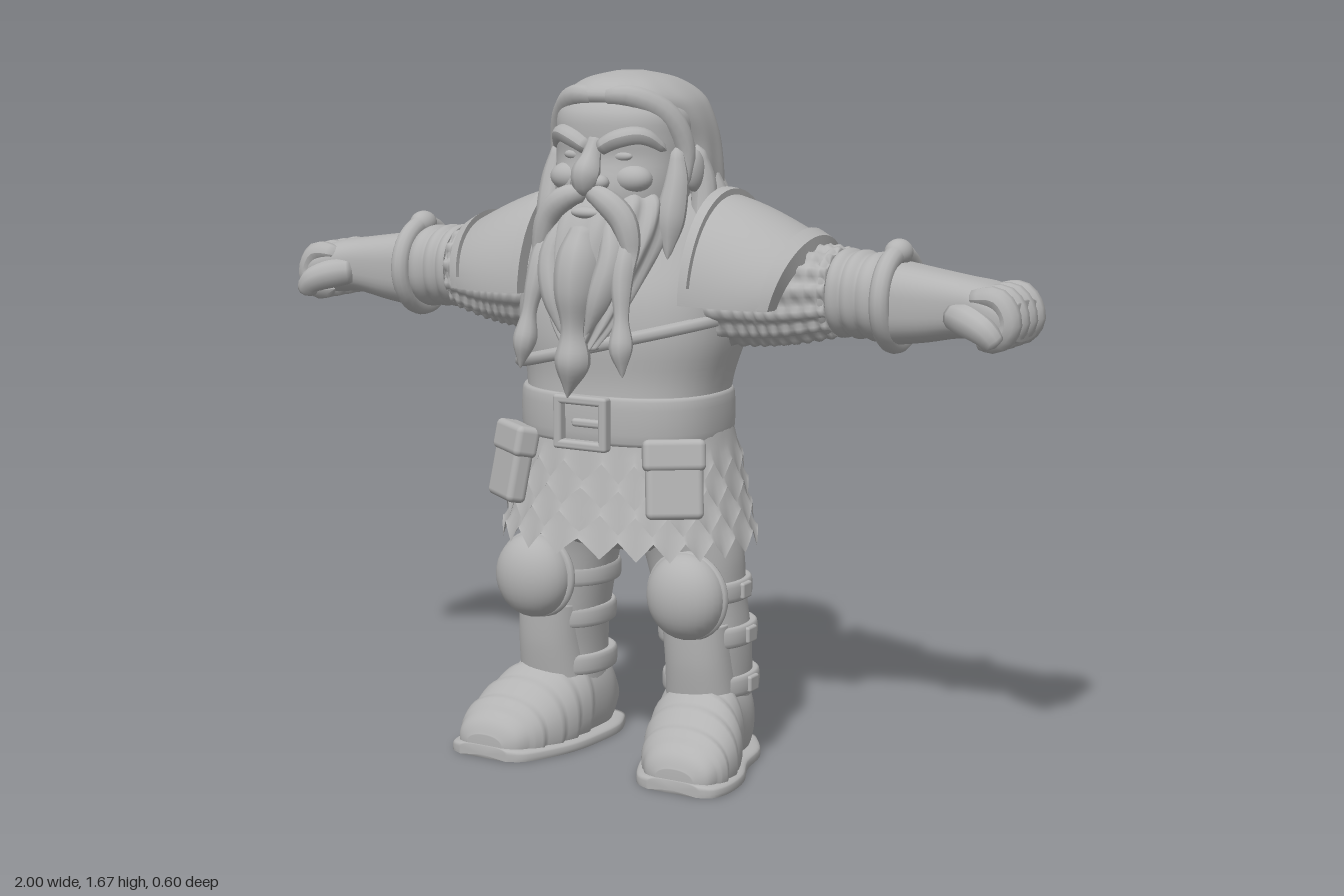
import * as THREE from 'three';
import { RoundedBoxGeometry } from 'three/addons/geometries/RoundedBoxGeometry.js';

const lerp = THREE.MathUtils.lerp;
const V = (p) => new THREE.Vector3(...p);
const spow = (v, e) => Math.sign(v) * Math.pow(Math.abs(v), 2 / e);

function catmull(keys, f, k) {
  const n = keys.length - 1, i = Math.min(Math.floor(f * n), n - 1), t = f * n - i;
  const b = keys[i][k], c = keys[i + 1][k];
  const a = i > 0 ? keys[i - 1][k] : b, d = i < n - 1 ? keys[i + 2][k] : c;
  const m0 = (c - a) / 2, m1 = (d - b) / 2;
  return b + m0 * t + (3 * (c - b) - 2 * m0 - m1) * t * t + (2 * (b - c) + m0 + m1) * t * t * t;
}

// Lofts rounded sections along an axis. Keys are [t, u, v, ru, rv]:
// axis y: [y, x, z, rx, rz]   axis x: [x, z, y, rz, ry]   axis z: [z, y, x, ry, rx]
function loft(axis, keys, { rows = 24, segs = 40, e = 2.2, mod = null, cap = true, after = null } = {}) {
  const pos = [], idx = [];
  const put = (t, u, v) => {
    const p = axis === 'y' ? [u, t, v] : axis === 'x' ? [t, v, u] : [v, u, t];
    if (after) after(p);
    pos.push(...p);
  };
  for (let i = 0; i <= rows; i++) {
    const f = i / rows, [t, u, v, ru, rv] = [0, 1, 2, 3, 4].map((k) => catmull(keys, f, k));
    for (let j = 0; j < segs; j++) {
      const a = (j / segs) * Math.PI * 2, m = mod ? mod(f, a, t) : 0;
      put(t, u + (ru + m) * spow(Math.cos(a), e), v + (rv + m) * spow(Math.sin(a), e));
    }
  }
  for (let i = 0; i < rows; i++) for (let j = 0; j < segs; j++) {
    const k = (j + 1) % segs, a = i * segs + j, b = i * segs + k, c = b + segs, d = a + segs;
    idx.push(a, d, b, b, d, c);
  }
  if (cap) {
    const s = keys[0], l = keys[keys.length - 1], c0 = pos.length / 3, top = rows * segs;
    put(s[0], s[1], s[2]);
    put(l[0], l[1], l[2]);
    for (let j = 0; j < segs; j++) {
      const k = (j + 1) % segs;
      idx.push(c0, j, k, c0 + 1, top + k, top + j);
    }
  }
  const g = new THREE.BufferGeometry();
  g.setAttribute('position', new THREE.Float32BufferAttribute(pos, 3));
  g.setIndex(idx);
  g.computeVertexNormals();
  return g;
}

// Tapered strand through points, with a radius for each point
function lock(points, radii, n = 16, segs = 10) {
  const curve = new THREE.CatmullRomCurve3(points.map(V));
  const g = new THREE.TubeGeometry(curve, n, 1, segs), P = g.attributes.position, q = new THREE.Vector3();
  const keys = radii.map((r) => [r]);
  for (let i = 0; i <= n; i++) {
    const c = curve.getPointAt(i / n), r = i === 0 || i === n ? 0.001 : Math.max(0.002, catmull(keys, i / n, 0));
    for (let j = 0; j <= segs; j++) {
      const k = i * (segs + 1) + j;
      q.fromBufferAttribute(P, k).sub(c).multiplyScalar(r).add(c);
      P.setXYZ(k, q.x, q.y, q.z);
    }
  }
  g.computeVertexNormals();
  return g;
}

const ball = (x, y, z, rx, ry, rz) => new THREE.SphereGeometry(1, 28, 18).scale(rx, ry, rz).translate(x, y, z);

// Flat band around a limb or the waist
const band = (y, h, x, z, rx, rz, e) => loft('y', [[y - h, x, z, rx - 0.02, rz - 0.02], [y - h * 0.9, x, z, rx, rz],
  [y + h * 0.9, x, z, rx, rz], [y + h, x, z, rx - 0.02, rz - 0.02]], { rows: 12, e });

// Curved shoulder plate piece: u runs outward, a runs over the arm
function shoulderPlate(u0, u1, a0, a1, h0, h1) {
  const g = new THREE.BoxGeometry(1, 1, 1, 8, 1, 28), P = g.attributes.position;
  for (let i = 0; i < P.count; i++) {
    const u = lerp(u0, u1, P.getX(i) + 0.5), h = lerp(h0, h1, P.getY(i) + 0.5);
    const a = THREE.MathUtils.degToRad(lerp(a1, a0, P.getZ(i) + 0.5));
    const ry = lerp(0.245, 0.145, u ** 1.4) + h, rz = lerp(0.205, 0.17, u ** 3) + h;
    P.setXYZ(i, 0.22 + 0.25 * u - 0.04 * u * (1 - Math.sin(a)), 1.13 + ry * Math.sin(a), -0.075 + rz * Math.cos(a));
  }
  g.computeVertexNormals();
  return g;
}

function mirrored(g) {
  const m = g.clone().scale(-1, 1, 1);
  if (!m.index) m.setIndex([...Array(m.attributes.position.count).keys()]);
  const a = m.index.array;
  for (let i = 0; i < a.length; i += 3) [a[i], a[i + 1]] = [a[i + 1], a[i]];
  return m;
}

export function createModel() {
  const model = new THREE.Group();
  const mat = new THREE.MeshStandardMaterial({ color: 0xb3b3b3, side: THREE.DoubleSide });
  mat.name = 'stoneGrey';
  const add = (name, g) => {
    const m = new THREE.Mesh(g, mat);
    m.name = name;
    model.add(m);
  };
  const pair = (name, g) => { add(name + 'Left', g); add(name + 'Right', mirrored(g)); };

  // Torso, strap and belt
  add('torso', loft('y', [[0.74, 0, 0, 0.24, 0.19], [0.86, 0, 0, 0.245, 0.195], [0.95, 0, -0.01, 0.255, 0.2],
    [1.05, 0, -0.025, 0.28, 0.22], [1.15, 0, -0.045, 0.285, 0.225], [1.25, 0, -0.07, 0.27, 0.205],
    [1.33, 0, -0.07, 0.22, 0.17], [1.4, 0, -0.06, 0.12, 0.12]], { rows: 30, e: 2.4 }));
  const strap = [];
  for (let i = 0; i < 40; i++) {
    const a = (i / 40) * Math.PI * 2, x = 0.275 * spow(Math.cos(a), 2.4);
    strap.push(V([x, 1.03 + x * 0.25, -0.022 + 0.215 * spow(Math.sin(a), 2.4)]));
  }
  add('chestStrap', new THREE.TubeGeometry(new THREE.CatmullRomCurve3(strap, true), 100, 0.016, 8, true));
  add('belt', band(0.86, 0.055, 0, 0, 0.258, 0.207, 2.4));
  for (const s of [-1, 1]) {
    add('buckleSide', new RoundedBoxGeometry(0.022, 0.13, 0.03, 3, 0.008).translate(s * 0.062, 0.855, 0.217));
    add('buckleBar', new RoundedBoxGeometry(0.146, 0.022, 0.03, 3, 0.008).translate(0, 0.855 + s * 0.054, 0.217));
  }
  add('buckleTongue', new RoundedBoxGeometry(0.09, 0.02, 0.02, 2, 0.008).translate(0.02, 0.855, 0.217));

  // Scale skirt in overlapping tiers
  [0.715, 0.655, 0.595, 0.535].forEach((y0, k) => {
    const y1 = y0 + 0.11, w = (0.82 - y0) / 0.28;
    const g = loft('y', [[y0, 0, -0.005, 0.262 + 0.058 * w, 0.207 + 0.036 * w],
      [y1, 0, -0.005, 0.242 + 0.045 * w, 0.19 + 0.025 * w]], { rows: 6, segs: 176, cap: false, e: 2.3 });
    const P = g.attributes.position;
    for (let j = 0; j < 176 * 4; j++) {
      const row = Math.floor(j / 176), ph = (((j % 176) + (k % 2) * 4) % 8) / 8;
      P.setY(j, P.getY(j) + 0.045 * Math.abs(ph - 0.5) * 2 * (1 - row / 4));
    }
    g.computeVertexNormals();
    add('skirtTier', g);
  });
  add('hips', loft('y', [[0.53, 0, -0.02, 0.18, 0.12], [0.6, 0, -0.01, 0.25, 0.18], [0.76, 0, 0, 0.23, 0.18]]));

  // Hanging pouches
  const place = (g) => g.rotateX(-0.2).rotateY(0.6).translate(0.225, 0.73, 0.172);
  pair('pouch', place(new RoundedBoxGeometry(0.135, 0.18, 0.05, 4, 0.015)));
  pair('pouchFlap', place(new RoundedBoxGeometry(0.148, 0.075, 0.062, 4, 0.015).translate(0, 0.06, 0)));

  // Legs, straps and knee guards
  pair('leg', loft('y', [[0.1, 0.2, -0.05, 0.095, 0.115], [0.22, 0.205, -0.045, 0.1, 0.105], [0.32, 0.2, -0.035, 0.105, 0.11],
    [0.42, 0.185, -0.03, 0.11, 0.11], [0.52, 0.17, -0.025, 0.12, 0.115], [0.62, 0.14, -0.02, 0.125, 0.14]]));
  [[0.2, 0.203, -0.055, 0.113, 0.118], [0.325, 0.2, -0.043, 0.116, 0.118], [0.435, 0.185, -0.035, 0.12, 0.118]].forEach(([y, x, z, rx, rz]) => {
    pair('legStrap', band(y, 0.024, x, z, rx, rz));
    pair('strapBuckle', new RoundedBoxGeometry(0.018, 0.04, 0.045, 2, 0.006).translate(x + rx, y, z));
  });
  pair('kneeGuard', ball(0.215, 0.435, 0.095, 0.1, 0.105, 0.075));
  pair('kneeRim', new THREE.TorusGeometry(0.098, 0.012, 8, 36).translate(0.213, 0.435, 0.085));
  pair('shinGuard', loft('y', [[0.16, 0.21, 0.0, 0.09, 0.075], [0.26, 0.21, 0.015, 0.085, 0.075], [0.36, 0.205, 0.025, 0.085, 0.07]]));

  // Boots with layered toe bands
  const floor = (p) => { p[1] = Math.max(0, p[1]); };
  const foot = [[-0.175, 0.08, 0.19, 0.05, 0.06], [-0.1, 0.1, 0.2, 0.13, 0.1], [0, 0.095, 0.21, 0.13, 0.11],
    [0.09, 0.065, 0.235, 0.115, 0.123], [0.17, 0.045, 0.255, 0.085, 0.112], [0.225, 0.035, 0.265, 0.055, 0.088], [0.245, 0.03, 0.267, 0.025, 0.05]];
  pair('boot', loft('z', foot, { rows: 60, after: floor,
    mod: (f, a, t) => (t > 0 && t < 0.2 ? 0.008 * (1 - ((t * 18) % 1)) : 0) }));
  pair('sole', loft('z', foot.map(([z, , x, , rx]) => [z * 1.03, 0.008, x, 0.022, rx + 0.016]), { e: 4, after: floor }));

  // Arms: lumpy mail sleeve, wrapped forearm, cuff, glove
  pair('sleeve', loft('x', [[0.2, -0.07, 1.17, 0.17, 0.14], [0.32, -0.08, 1.165, 0.16, 0.135], [0.42, -0.085, 1.16, 0.138, 0.12],
    [0.53, -0.09, 1.165, 0.105, 0.1]], { rows: 50, segs: 72, mod: (f, a) => 0.009 * Math.sin(a * 14 + Math.floor(f * 12) * Math.PI) * Math.sin(f * 12 * Math.PI) }));
  pair('forearmWrap', loft('x', [[0.5, -0.09, 1.165, 0.102, 0.098], [0.58, -0.093, 1.163, 0.1, 0.096], [0.68, -0.095, 1.155, 0.1, 0.096]],
    { rows: 40, mod: (f) => 0.008 * Math.abs(Math.sin(f * Math.PI * 5)) }));
  pair('cuff', new THREE.TorusGeometry(0.104, 0.024, 12, 40).rotateY(Math.PI / 2).translate(0.665, 1.158, -0.095));
  pair('cuffKnob', ball(0.665, 1.265, -0.095, 0.032, 0.032, 0.04));
  pair('glove', loft('x', [[0.66, -0.093, 1.15, 0.103, 0.098], [0.75, -0.088, 1.15, 0.09, 0.085], [0.84, -0.085, 1.152, 0.085, 0.07],
    [0.9, -0.085, 1.145, 0.098, 0.068], [0.95, -0.085, 1.135, 0.1, 0.06], [0.985, -0.085, 1.13, 0.085, 0.045]], { e: 2.7 }));
  for (let i = 0; i < 4; i++) {
    const z = -0.157 + i * 0.048;
    pair('finger', lock([[0.87, 1.18, z], [0.945, 1.18, z], [0.972, 1.13, z], [0.945, 1.09, z], [0.89, 1.09, z]], [0.02, 0.028, 0.029, 0.028, 0.02]));
  }
  pair('thumb', lock([[0.83, 1.14, -0.02], [0.89, 1.13, 0.015], [0.935, 1.11, 0.03], [0.955, 1.08, 0.02]], [0.03, 0.036, 0.033, 0.025]));

  // Shoulder guards with raised rims
  pair('shoulderGuard', shoulderPlate(0, 1, 4, 170, -0.015, 0.01));
  pair('guardRimInner', shoulderPlate(0, 0.1, 3, 171, -0.015, 0.024));
  pair('guardRimOuter', shoulderPlate(0.9, 1.02, 3, 171, -0.02, 0.024));
  pair('guardRimFront', shoulderPlate(0, 1.02, 2, 11, -0.015, 0.024));
  pair('guardRimBack', shoulderPlate(0, 1.02, 163, 172, -0.015, 0.024));

  // Head and face
  add('head', loft('y', [[1.24, 0, 0, 0.12, 0.12], [1.32, 0, 0.02, 0.15, 0.14], [1.4, 0, 0.025, 0.16, 0.15], [1.47, 0, 0.02, 0.163, 0.138],
    [1.52, 0, 0.01, 0.165, 0.152], [1.58, 0, 0, 0.16, 0.155], [1.64, 0, 0, 0.1, 0.1]]));
  add('nose', lock([[0, 1.52, 0.145], [0, 1.47, 0.175], [0, 1.425, 0.2], [0, 1.4, 0.18]], [0.02, 0.023, 0.034, 0.025]));
  pair('nostril', ball(0.028, 1.418, 0.178, 0.022, 0.018, 0.022));
  pair('brow', lock([[0.01, 1.492, 0.16], [0.06, 1.518, 0.155], [0.11, 1.525, 0.125], [0.15, 1.49, 0.08]], [0.018, 0.022, 0.02, 0.01]));
  pair('eye', ball(0.062, 1.478, 0.138, 0.03, 0.013, 0.015));
  pair('cheek', ball(0.085, 1.425, 0.125, 0.05, 0.035, 0.04));
  pair('ear', ball(0.18, 1.44, 0.0, 0.022, 0.05, 0.035));

  // Hair with strands and ragged ends
  add('hair', loft('y', [[1.17, 0, -0.2, 0.12, 0.06], [1.28, 0, -0.165, 0.165, 0.11], [1.4, 0, -0.11, 0.185, 0.128], [1.5, 0, -0.09, 0.182, 0.14],
    [1.57, 0, -0.055, 0.172, 0.165], [1.615, 0, -0.03, 0.15, 0.178], [1.652, 0, -0.015, 0.1, 0.125], [1.67, 0, -0.01, 0.03, 0.04]],
    { rows: 36, segs: 80, mod: (f, a, t) => 0.004 * Math.sin(a * 11 + t * 12) * (1 - f) }));
  for (let i = 0; i < 13; i++) {
    const a = lerp(-1.5, 1.5, i / 12), s = Math.sin(a), c = Math.cos(a), d = (i % 3) * 0.035;
    add('backLock', lock([[0.16 * s, 1.45, -0.1 - 0.11 * c], [0.18 * s, 1.36, -0.11 - 0.13 * c], [0.19 * s, 1.28 - d / 2, -0.12 - 0.145 * c],
      [0.2 * s + 0.015, 1.2 - d, -0.125 - 0.165 * c]], [0.015, 0.03, 0.028, 0.004]));
  }
  pair('fringe', lock([[0.0, 1.61, 0.13], [0.07, 1.615, 0.115], [0.14, 1.57, 0.06], [0.172, 1.49, 0.03], [0.18, 1.4, 0.04]], [0.02, 0.028, 0.03, 0.024, 0.008]));
  pair('sideburn', lock([[0.16, 1.5, 0.05], [0.168, 1.42, 0.065], [0.165, 1.34, 0.085], [0.17, 1.24, 0.11]], [0.015, 0.03, 0.034, 0.006]));
  pair('sideLock', lock([[0.175, 1.5, -0.02], [0.19, 1.4, -0.03], [0.195, 1.32, -0.01], [0.2, 1.25, 0.04]], [0.015, 0.03, 0.028, 0.005]));

  // Beard, moustache and braids
  add('beard', loft('y', [[1.03, 0, 0.22, 0.035, 0.03], [1.1, 0, 0.195, 0.085, 0.06], [1.2, 0, 0.155, 0.13, 0.095],
    [1.3, 0, 0.11, 0.16, 0.115], [1.37, 0, 0.085, 0.155, 0.1], [1.4, 0, 0.08, 0.12, 0.07]],
    { rows: 30, segs: 80, mod: (f, a) => 0.007 * Math.sin(a * 13 + f * 4) }));
  pair('moustache', lock([[0.0, 1.395, 0.185], [0.05, 1.382, 0.2], [0.1, 1.335, 0.195], [0.125, 1.26, 0.2], [0.14, 1.22, 0.22]], [0.018, 0.03, 0.032, 0.024, 0.004]));
  pair('beardLock', lock([[0.05, 1.35, 0.175], [0.08, 1.25, 0.215], [0.06, 1.15, 0.24], [0.03, 1.06, 0.25]], [0.015, 0.03, 0.03, 0.005]));
  pair('sideBraid', lock([[0.11, 1.3, 0.18], [0.115, 1.2, 0.225], [0.125, 1.12, 0.245], [0.13, 1.06, 0.255], [0.132, 1.04, 0.26], [0.14, 0.98, 0.265]],
    [0.02, 0.028, 0.024, 0.018, 0.028, 0.004], 30));
  add('centreBraid', lock([[0, 1.32, 0.2], [0, 1.2, 0.245], [0, 1.1, 0.255], [0, 1.04, 0.255], [0, 1.0, 0.258], [-0.01, 0.92, 0.265]],
    [0.03, 0.05, 0.046, 0.028, 0.042, 0.004], 30));
  add('lowerLip', ball(0, 1.348, 0.195, 0.04, 0.014, 0.018));
  return model;
}
